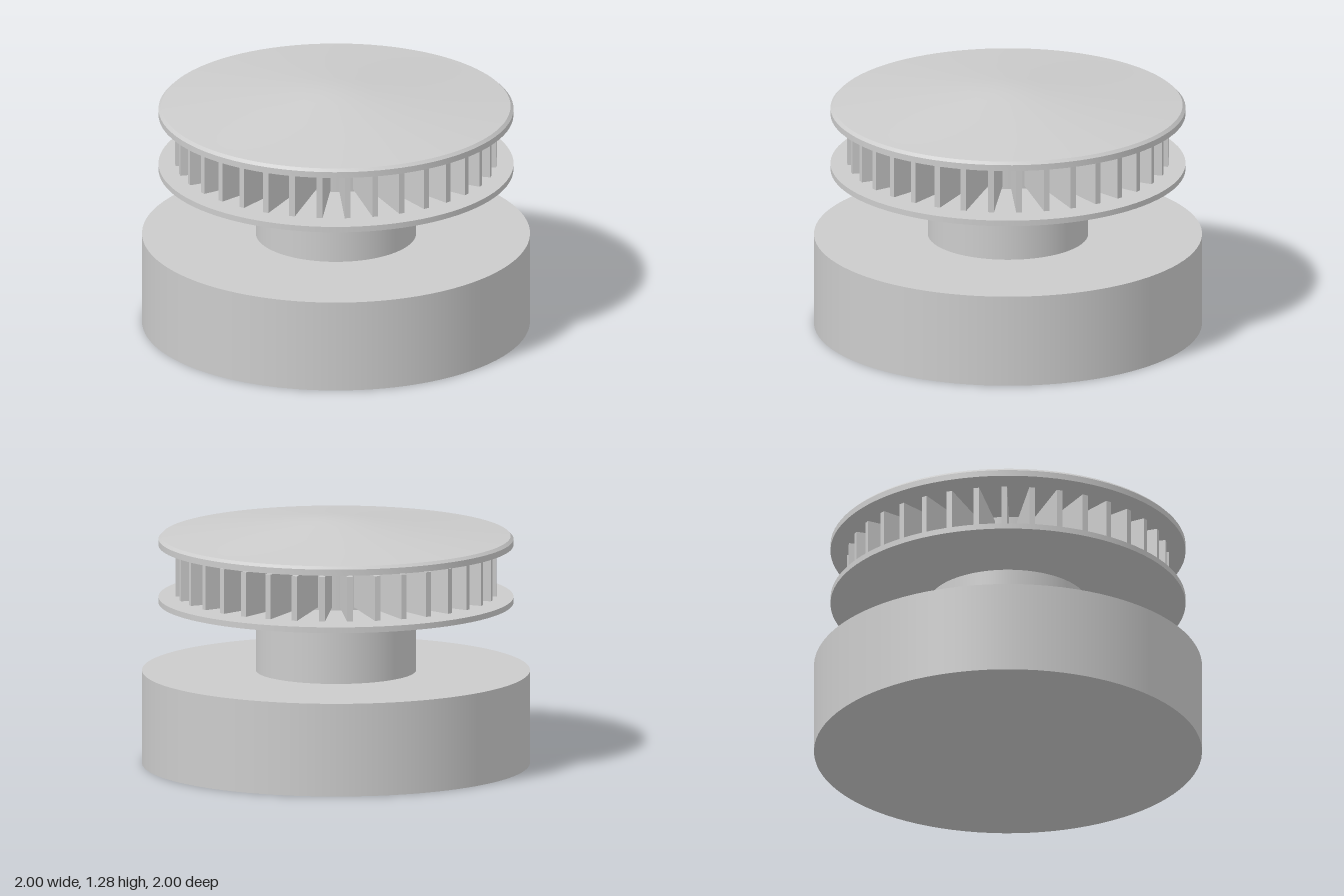
import * as THREE from 'three';
import { toCreasedNormals } from 'three/addons/utils/BufferGeometryUtils.js';

const SEGMENTS = 96;
const FIN_COUNT = 36;

export function createModel() {
  const model = new THREE.Group();
  model.name = 'finnedVent';
  const material = new THREE.MeshStandardMaterial({ color: 0xcccccc });

  const add = (name, geometry, parent = model) => {
    const mesh = new THREE.Mesh(geometry, material);
    mesh.name = name;
    parent.add(mesh);
    return mesh;
  };

  // Upright disc between two heights
  const disc = (name, radius, bottom, top) => {
    const mesh = add(name, new THREE.CylinderGeometry(radius, radius, top - bottom, SEGMENTS));
    mesh.position.y = (bottom + top) / 2;
  };

  disc('base', 1, 0, 0.485);
  disc('neck', 0.413, 0.485, 1.15);
  disc('lowerPlate', 0.915, 0.84, 0.87);

  // Ring of radial fins around the neck
  const fins = new THREE.Group();
  fins.name = 'fins';
  model.add(fins);
  const inner = 0.39, outer = 0.83, bottom = 0.885, top = 1.118;
  const finGeometry = new THREE.BoxGeometry(0.03, top - bottom, outer - inner);
  finGeometry.translate(0, (top + bottom) / 2, (outer + inner) / 2);
  for (let i = 0; i < FIN_COUNT; i++) {
    const fin = add('fin', finGeometry, fins);
    fin.rotation.y = THREE.MathUtils.degToRad(2.3) + (i / FIN_COUNT) * Math.PI * 2;
  }

  // Shallow domed cap with a bevelled rim and flat underside
  const profile = [
    [0, 1.14], [0.915, 1.14], [0.915, 1.172], [0.9, 1.187],
    [0.42, 1.238], [0.2, 1.267], [0.1, 1.276], [0, 1.28],
  ].map(([r, y]) => new THREE.Vector2(r, y));
  add('cap', toCreasedNormals(new THREE.LatheGeometry(profile, SEGMENTS), 0.4));

  return model;
}
